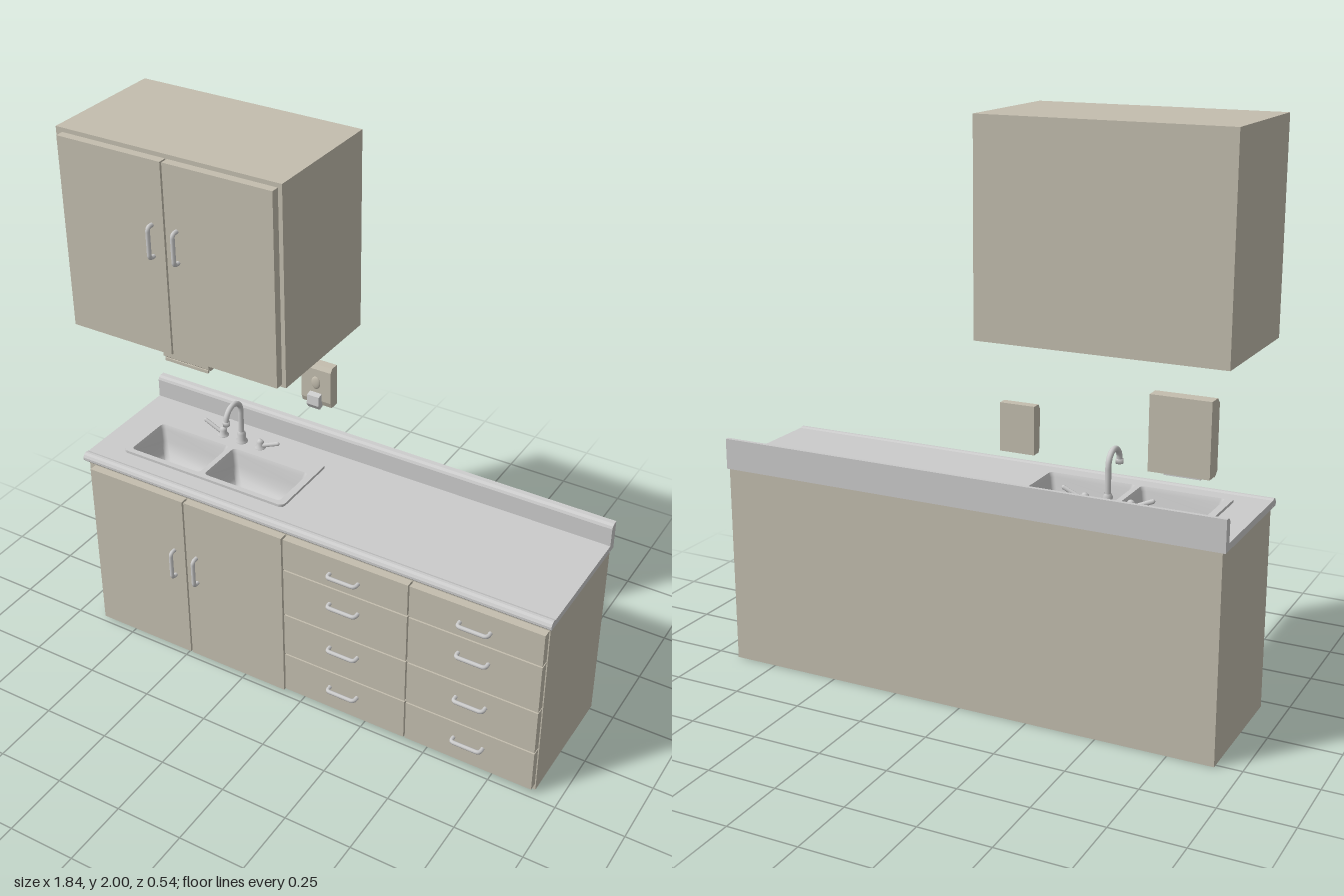
import * as THREE from 'three';

const beige = new THREE.MeshStandardMaterial({ color: 0xc3bdae });
const grey = new THREE.MeshStandardMaterial({ color: 0xcccccc });
const greyThin = new THREE.MeshStandardMaterial({ color: 0xcccccc, side: THREE.DoubleSide });

const V = (x, y, z) => new THREE.Vector3(x, y, z);

function add(parent, name, geo, mat) {
  const mesh = new THREE.Mesh(geo, mat);
  mesh.name = name;
  parent.add(mesh);
  return mesh;
}

// Box given by its limits on each axis
function box(parent, name, x0, x1, y0, y1, z0, z1, mat = beige) {
  const geo = new THREE.BoxGeometry(x1 - x0, y1 - y0, z1 - z0);
  geo.translate((x0 + x1) / 2, (y0 + y1) / 2, (z0 + z1) / 2);
  return add(parent, name, geo, mat);
}

// Profile of [z, y] points extruded from x0 to x1
function alongX(parent, name, pts, x0, x1, mat) {
  const shape = new THREE.Shape(pts.map(p => new THREE.Vector2(...p)));
  const geo = new THREE.ExtrudeGeometry(shape, { depth: x1 - x0, bevelEnabled: false });
  geo.rotateY(-Math.PI / 2).translate(x1, 0, 0);
  return add(parent, name, geo, mat);
}

// Rounded rectangle in x and z
function roundRect(x0, x1, z0, z1, r, Type = THREE.Shape) {
  const a = -z1, b = -z0, s = new Type(), h = Math.PI / 2;
  s.absarc(x1 - r, a + r, r, -h, 0);
  s.absarc(x1 - r, b - r, r, 0, h);
  s.absarc(x0 + r, b - r, r, h, 2 * h);
  s.absarc(x0 + r, a + r, r, 2 * h, 3 * h);
  s.closePath();
  return s;
}

// Horizontal plate with holes
function plate(parent, name, shape, holes, y0, y1) {
  shape.holes.push(...holes);
  const geo = new THREE.ExtrudeGeometry(shape, { depth: y1 - y0, bevelEnabled: false, curveSegments: 6 });
  geo.rotateX(-Math.PI / 2).translate(0, y0, 0);
  return add(parent, name, geo, grey);
}

// Bow pull handle, mounted on the z = 0 plane
function handle(parent, x, y, z, upright) {
  const h = 0.055, d = 0.024, r = 0.014, path = new THREE.CurvePath();
  path.add(new THREE.LineCurve3(V(-h, 0, 0), V(-h, 0, d - r)));
  path.add(new THREE.QuadraticBezierCurve3(V(-h, 0, d - r), V(-h, 0, d), V(-h + r, 0, d)));
  path.add(new THREE.LineCurve3(V(-h + r, 0, d), V(h - r, 0, d)));
  path.add(new THREE.QuadraticBezierCurve3(V(h - r, 0, d), V(h, 0, d), V(h, 0, d - r)));
  path.add(new THREE.LineCurve3(V(h, 0, d - r), V(h, 0, 0)));
  const mesh = add(parent, 'handle', new THREE.TubeGeometry(path, 40, 0.0075, 8), grey);
  mesh.position.set(x, y, z);
  if (upright) mesh.rotation.z = Math.PI / 2;
}

function doorPair(parent, y0, y1, handleY) {
  box(parent, 'doorRight', -0.885, -0.485, y0, y1, 0.21, 0.24);
  box(parent, 'doorLeft', -0.478, -0.075, y0, y1, 0.21, 0.24);
  for (const x of [-0.53, -0.435]) handle(parent, x, handleY, 0.24, true);
}

// Tapered sink bowl lofted through rounded rectangles
function bowl(parent, x0, x1, z0, z1, top) {
  const steps = [[0, 0], [0.006, 0.015], [0.014, 0.06], [0.025, 0.1], [0.045, 0.118], [0.09, 0.124]];
  const pos = [], idx = [];
  let n = 0;
  steps.forEach(([inset, drop], k) => {
    const ring = roundRect(x0 + inset, x1 - inset, z0 + inset, z1 - inset, 0.015).getPoints(5);
    n = ring.length;
    ring.forEach(p => pos.push(p.x, top - drop, -p.y));
    if (k) for (let i = 0; i < n - 1; i++) {
      const a = (k - 1) * n + i, b = k * n + i;
      idx.push(a, a + 1, b, b, a + 1, b + 1);
    }
  });
  const c = pos.length / 3, cx = (x0 + x1) / 2, cz = (z0 + z1) / 2;
  pos.push(cx, top - 0.126, cz);
  for (let i = 0; i < n - 1; i++) idx.push(c - n + i, c - n + i + 1, c);
  const geo = new THREE.BufferGeometry();
  geo.setAttribute('position', new THREE.Float32BufferAttribute(pos, 3));
  geo.setIndex(idx);
  geo.computeVertexNormals();
  add(parent, 'sinkBowl', geo, greyThin);
  const drain = add(parent, 'drain', new THREE.CylinderGeometry(0.025, 0.025, 0.006, 20), grey);
  drain.position.set(cx, top - 0.122, cz);
}

function lathe(parent, name, pts, x, y, z) {
  const geo = new THREE.LatheGeometry(pts.map(p => new THREE.Vector2(...p)), 16);
  add(parent, name, geo, greyThin).position.set(x, y, z);
}

function group(parent, name) {
  const g = new THREE.Group();
  g.name = name;
  parent.add(g);
  return g;
}

export function createModel() {
  const root = new THREE.Group();
  root.name = 'kitchenUnit';

  // Base cabinet, open on top beneath the counter to leave room for the sink
  const base = group(root, 'baseCabinet');
  box(base, 'bottomPanel', -0.91, 0.91, 0, 0.02, -0.265, 0.21);
  box(base, 'backPanel', -0.91, 0.91, 0.02, 0.72, -0.265, -0.245);
  box(base, 'frontFrame', -0.91, 0.91, 0.02, 0.72, 0.19, 0.21);
  for (const x of [-0.91, 0.89]) box(base, 'sidePanel', x, x + 0.02, 0.02, 0.72, -0.245, 0.19);
  doorPair(base, 0.015, 0.7, 0.418);

  // Two columns of four drawers
  const rows = [[0.573, 0.7, 0.63], [0.375, 0.567, 0.5], [0.194, 0.369, 0.305], [0.025, 0.188, 0.12]];
  for (const [x0, x1] of [[-0.068, 0.416], [0.422, 0.906]])
    for (const [y0, y1, hy] of rows) {
      box(base, 'drawerFront', x0, x1, y0, y1, 0.21, 0.24);
      handle(base, (x0 + x1) / 2, hy, 0.24, false);
    }

  // Countertop with rounded front edge and backsplash
  const counter = group(root, 'countertop');
  const cut = roundRect(-0.79, -0.15, -0.075, 0.125, 0.02, THREE.Path);
  plate(counter, 'counterSlab', roundRect(-0.92, 0.92, -0.236, 0.2, 0.0005), [cut], 0.72, 0.745);
  alongX(counter, 'frontEdge', [[0.2, 0.72], [0.228, 0.72], [0.232, 0.725], [0.232, 0.734], [0.227, 0.743],
    [0.219, 0.749], [0.21, 0.749], [0.2, 0.745]], -0.92, 0.92, grey);
  alongX(counter, 'backsplash', [[-0.267, 0.72], [-0.236, 0.72], [-0.236, 0.815], [-0.24, 0.824],
    [-0.25, 0.829], [-0.267, 0.83]], -0.92, 0.92, grey);

  // Double sink
  const sink = group(root, 'sink');
  const bowls = [[-0.785, -0.49], [-0.47, -0.155]];
  plate(sink, 'sinkRim', roundRect(-0.81, -0.13, -0.155, 0.14, 0.02),
    bowls.map(([a, b]) => roundRect(a, b, -0.07, 0.12, 0.015, THREE.Path)), 0.744, 0.755);
  for (const [a, b] of bowls) bowl(sink, a, b, -0.07, 0.12, 0.755);

  // Faucet with gooseneck spout and two lever taps
  const faucet = group(root, 'faucet');
  const fx = -0.47, fz = -0.122, top = 0.752, R = 0.046;
  lathe(faucet, 'spoutBase', [[0.022, 0], [0.022, 0.008], [0.016, 0.015], [0.016, 0.038], [0.011, 0.048]], fx, top, fz);
  const neck = [V(fx, top, fz), V(fx, 0.82, fz), V(fx, 0.87, fz)];
  for (let i = 0; i <= 8; i++) {
    const a = Math.PI * (1 - i / 8);
    neck.push(V(fx, 0.89 + R * Math.sin(a), fz + R + R * Math.cos(a)));
  }
  neck.push(V(fx, 0.88, fz + 2 * R + 0.001));
  add(faucet, 'spout', new THREE.TubeGeometry(new THREE.CatmullRomCurve3(neck), 48, 0.01, 12), grey);
  lathe(faucet, 'spoutTip', [[0, 0], [0.013, 0], [0.013, 0.016], [0, 0.016]], fx, 0.875, fz + 2 * R);
  for (const s of [-1, 1]) {
    const x = fx + s * 0.08;
    lathe(faucet, 'tapBase', [[0.02, 0], [0.02, 0.007], [0.012, 0.014], [0.014, 0.028], [0.008, 0.036], [0, 0.038]], x, top, fz);
    const lever = add(faucet, 'tapLever', new THREE.CapsuleGeometry(0.008, 0.065, 4, 10), grey);
    lever.scale.z = 0.8;
    lever.rotation.z = -s * 1.15;
    lever.position.set(x + s * 0.045, top + 0.031, fz);
  }

  // Wall cabinet with lamp beneath
  const wall = group(root, 'wallCabinet');
  box(wall, 'cabinetBody', -0.91, -0.06, 1.29, 2, -0.265, 0.21);
  doorPair(wall, 1.3, 1.985, 1.707);
  alongX(wall, 'underCabinetLight', [[0.08, 1.29], [0.085, 1.275], [0.095, 1.27], [0.125, 1.27],
    [0.135, 1.275], [0.14, 1.29]], -0.76, -0.19, grey);

  // Paper towel dispenser
  const towel = group(root, 'towelDispenser');
  alongX(towel, 'towelCase', [[-0.267, 0.945], [-0.215, 0.945], [-0.2, 0.958], [-0.2, 1.172], [-0.218, 1.19],
    [-0.267, 1.19]], -0.86, -0.66, beige);
  box(towel, 'towelLip', -0.855, -0.665, 0.938, 0.95, -0.214, -0.203);
  box(towel, 'paperTowel', -0.82, -0.7, 0.93, 0.95, -0.235, -0.225, grey);

  // Soap dispenser with push lever
  const soap = group(root, 'soapDispenser');
  alongX(soap, 'soapCase', [[-0.267, 0.94], [-0.232, 0.94], [-0.225, 0.96], [-0.225, 1.085], [-0.235, 1.1],
    [-0.267, 1.1]], -0.275, -0.155, beige);
  alongX(soap, 'pushLever', [[-0.23, 0.937], [-0.212, 0.932], [-0.201, 0.95], [-0.205, 0.985], [-0.23, 0.992]],
    -0.24, -0.192, grey);
  const view = add(soap, 'levelWindow', new THREE.SphereGeometry(1, 16, 10), beige);
  view.scale.set(0.018, 0.025, 0.006);
  view.position.set(-0.216, 1.03, -0.225);

  return root;
}
